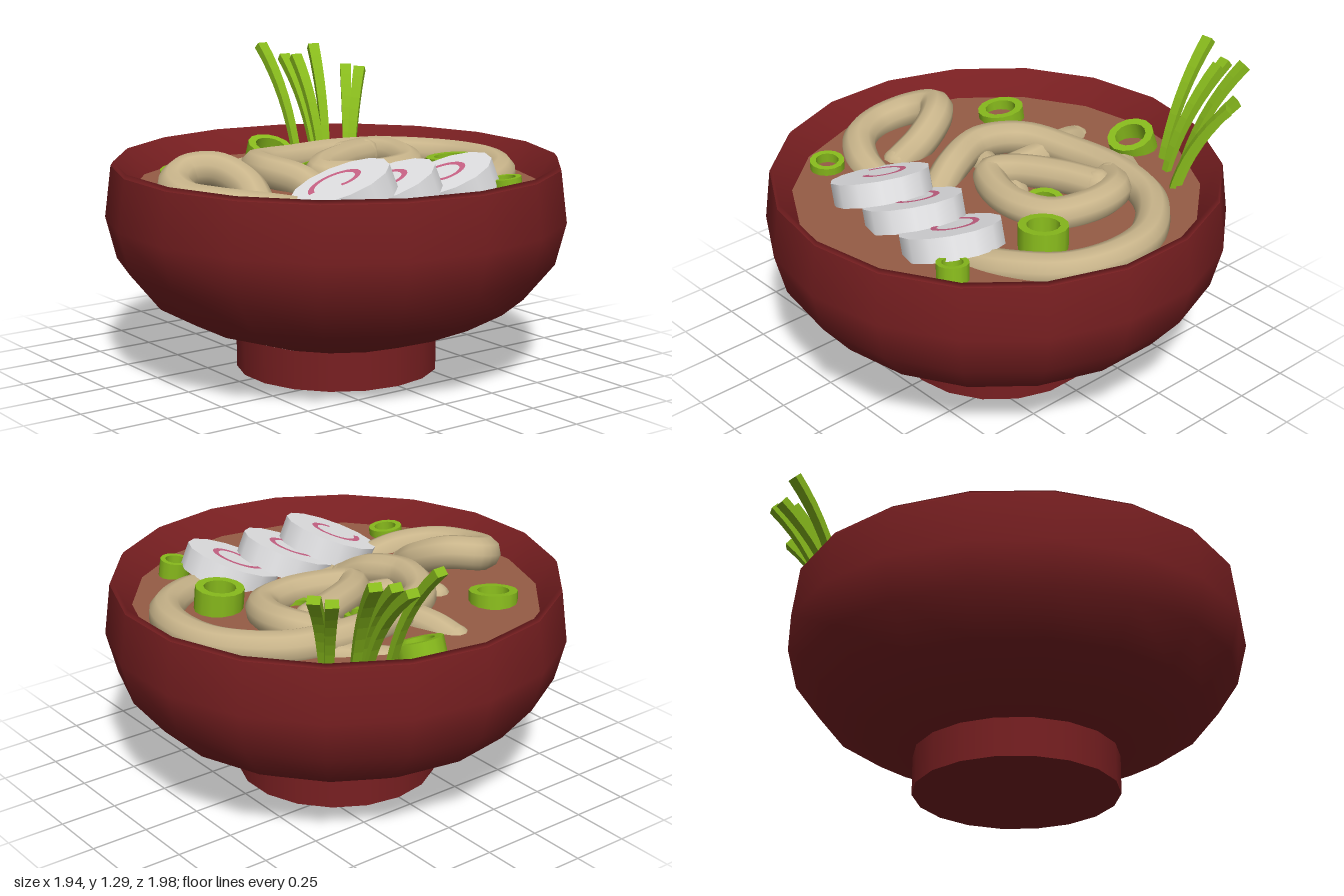
import * as THREE from 'three';

const mat = (name, color, side = THREE.FrontSide) => {
  const m = new THREE.MeshStandardMaterial({ color, side });
  m.name = name;
  return m;
};

export function createModel() {
  const root = new THREE.Group();
  root.name = 'noodleBowl';
  const red = mat('bowl red', 0x781f21);
  const brown = mat('broth brown', 0x955c45);
  const cream = mat('noodle cream', 0xc8b48a);
  const white = mat('fish cake white', 0xe4e4e6);
  const pink = mat('swirl pink', 0xcc6488, THREE.DoubleSide);
  const green = mat('onion green', 0x87b91c);

  const add = (parent, name, geometry, material) => {
    const mesh = new THREE.Mesh(geometry, material);
    mesh.name = name;
    parent.add(mesh);
    return mesh;
  };
  const group = (name) => {
    const g = new THREE.Group();
    g.name = name;
    root.add(g);
    return g;
  };
  const lathe = (pts, sides = 18) =>
    new THREE.LatheGeometry(pts.map(([r, y]) => new THREE.Vector2(r, y)), sides);

  // Bowl: separate profiles keep the foot and lip edges sharp
  const bowl = group('bowl');
  bowl.position.z = 0.01;
  add(bowl, 'footBase', lathe([[0, 0], [0.435, 0]]), red);
  add(bowl, 'foot', lathe([[0.435, 0], [0.435, 0.165]]), red);
  add(bowl, 'wall', lathe([[0.42, 0.16], [0.65, 0.24], [0.81, 0.33], [0.94, 0.49],
    [0.985, 0.67], [0.957, 0.89]]), red);
  add(bowl, 'lip', lathe([[0.957, 0.89], [0.945, 0.907], [0.86, 0.785]]), red);
  add(bowl, 'broth', lathe([[0.867, 0.795], [0, 0.795]]), brown);

  // Noodles: smooth tubes with rounded ends, dipping into the broth
  const noodles = group('noodles');
  const noodle = (name, pts, radius) => {
    const path = pts.map(([x, y, z]) => new THREE.Vector3(x, y, z));
    const curve = new THREE.CatmullRomCurve3(path);
    add(noodles, name, new THREE.TubeGeometry(curve, pts.length * 6, radius, 10), cream);
    for (const end of [path[0], path[path.length - 1]]) {
      add(noodles, name + 'End', new THREE.SphereGeometry(radius, 10, 8), cream).position.copy(end);
    }
  };
  noodle('leftNoodle', [[-0.49, 0.76, 0.15], [-0.475, 0.84, 0.03], [-0.53, 0.893, -0.1],
    [-0.63, 0.885, -0.17], [-0.73, 0.85, -0.11], [-0.77, 0.82, 0.04], [-0.71, 0.81, 0.19],
    [-0.57, 0.79, 0.285], [-0.45, 0.765, 0.31], [-0.36, 0.74, 0.31], [-0.2, 0.74, 0.26],
    [-0.07, 0.745, 0.22]], 0.075);
  noodle('largeNoodle', [[-0.18, 0.76, 0.19], [-0.22, 0.83, 0.07], [-0.27, 0.855, -0.12],
    [-0.19, 0.845, -0.31], [0.05, 0.83, -0.4], [0.3, 0.83, -0.42], [0.54, 0.825, -0.36],
    [0.73, 0.82, -0.15], [0.765, 0.82, 0.07], [0.69, 0.81, 0.27], [0.5, 0.79, 0.41],
    [0.3, 0.76, 0.47]], 0.074);
  noodle('innerNoodle', [[0.34, 0.85, -0.25], [0.18, 0.85, -0.19], [0, 0.84, -0.09],
    [-0.06, 0.83, -0.01], [0.05, 0.825, 0.06], [0.22, 0.825, 0.085], [0.37, 0.83, 0.03],
    [0.44, 0.845, -0.13], [0.42, 0.85, -0.27], [0.3, 0.82, -0.37]], 0.072);
  noodle('backNoodle', [[-0.145, 0.75, -0.59], [-0.12, 0.78, -0.5], [-0.09, 0.795, -0.4],
    [-0.08, 0.795, -0.27], [-0.11, 0.77, -0.15]], 0.07);
  noodle('sunkNoodle', [[-0.35, 0.77, -0.23], [-0.3, 0.785, -0.14], [-0.14, 0.785, -0.08],
    [0.02, 0.775, -0.06], [0.12, 0.75, -0.01]], 0.063);
  noodle('farNoodle', [[0.15, 0.74, -0.6], [0.24, 0.755, -0.54], [0.36, 0.77, -0.46]], 0.064);

  // Fish cake slices: tilted, overlapping discs with a thin spiral on top
  const spiral = () => {
    const steps = 24, at = (t, off) => {
      const a = THREE.MathUtils.degToRad(165 - 285 * t), r = 0.125 - 0.065 * t + off;
      return new THREE.Vector2(Math.cos(a) * r, Math.sin(a) * r);
    };
    const pts = [];
    for (let i = 0; i <= steps; i++) pts.push(at(i / steps, 0.013));
    for (let i = steps; i >= 0; i--) pts.push(at(i / steps, -0.013));
    return new THREE.ShapeGeometry(new THREE.Shape(pts)).rotateX(-Math.PI / 2);
  };
  const cakes = group('fishCakes');
  [[-0.265, 0.848, 0.42, 0], [-0.04, 0.825, 0.43, -0.2], [0.235, 0.828, 0.46, -0.6]]
    .forEach(([x, y, z, turn]) => {
      const slice = new THREE.Group();
      slice.name = 'fishCakeSlice';
      slice.position.set(x, y, z);
      slice.rotation.set(-0.1, 0, 0.36);
      cakes.add(slice);
      add(slice, 'slice', new THREE.CylinderGeometry(0.212, 0.212, 0.1, 14), white);
      const swirl = add(slice, 'swirl', spiral(), pink);
      swirl.position.y = 0.054;
      swirl.rotation.y = turn;
    });

  // Sliced onion rings: hollow tubes floating at slight tilts
  const rings = group('onionRings');
  [[-0.48, 0.785, -0.45, 0.104, 0.1, 0.08], [0.12, 0.805, -0.69, 0.104, 0.36, 0],
    [0.1, 0.775, -0.28, 0.077, 0, 0.1], [0.24, 0.765, -0.04, 0.087, 0.12, -0.1],
    [0.48, 0.835, 0.19, 0.104, -0.06, 0.06], [-0.62, 0.78, 0.44, 0.075, 0.05, -0.08],
    [0.425, 0.81, 0.62, 0.067, -0.08, 0.1]].forEach(([x, y, z, r, tiltX, tiltZ]) => {
    const ring = new THREE.Group();
    ring.name = 'onionRing';
    ring.position.set(x, y, z);
    ring.rotation.set(tiltX, 0, tiltZ);
    rings.add(ring);
    const h = 0.055, inner = r * 0.66;
    add(ring, 'ringOutside', lathe([[r, -h], [r, h]], 14), green);
    add(ring, 'ringTop', lathe([[r, h], [inner, h]], 14), green);
    add(ring, 'ringInside', lathe([[inner, h], [inner, -h]], 14), green);
  });

  // Chives: flat stems, wider at the tip, bending over the back of the bowl
  const chives = group('chives');
  [[[0.29, 0.77, -0.7], [0.275, 1.28, -0.975]], [[0.36, 0.77, -0.65], [0.395, 1.22, -0.96]],
    [[0.375, 0.77, -0.63], [0.415, 1.225, -0.89]], [[0.43, 0.77, -0.66], [0.535, 1.265, -0.915]],
    [[0.49, 0.77, -0.58], [0.625, 1.175, -0.775]], [[0.49, 0.77, -0.545], [0.65, 1.17, -0.695]]]
    .forEach(([b, t]) => {
      const base = new THREE.Vector3(...b), tip = new THREE.Vector3(...t);
      const bend = base.clone().lerp(tip, 0.25);
      bend.y = THREE.MathUtils.lerp(base.y, tip.y, 0.6);
      const curve = new THREE.QuadraticBezierCurve3(base, bend, tip);
      const across = new THREE.Vector3(base.z - tip.z, 0, tip.x - base.x).normalize();
      const stem = new THREE.BoxGeometry(0.052, 1, 0.036, 1, 8, 1).toNonIndexed();
      const pos = stem.attributes.position;
      for (let i = 0; i < pos.count; i++) {
        const s = pos.getY(i) + 0.5, taper = 0.65 + 0.35 * s;
        const normal = across.clone().cross(curve.getTangent(s));
        const p = curve.getPoint(s).addScaledVector(across, pos.getX(i) * taper)
          .addScaledVector(normal, pos.getZ(i) * taper);
        pos.setXYZ(i, p.x, p.y, p.z);
      }
      stem.computeVertexNormals();
      add(chives, 'chive', stem, green);
    });

  return root;
}
